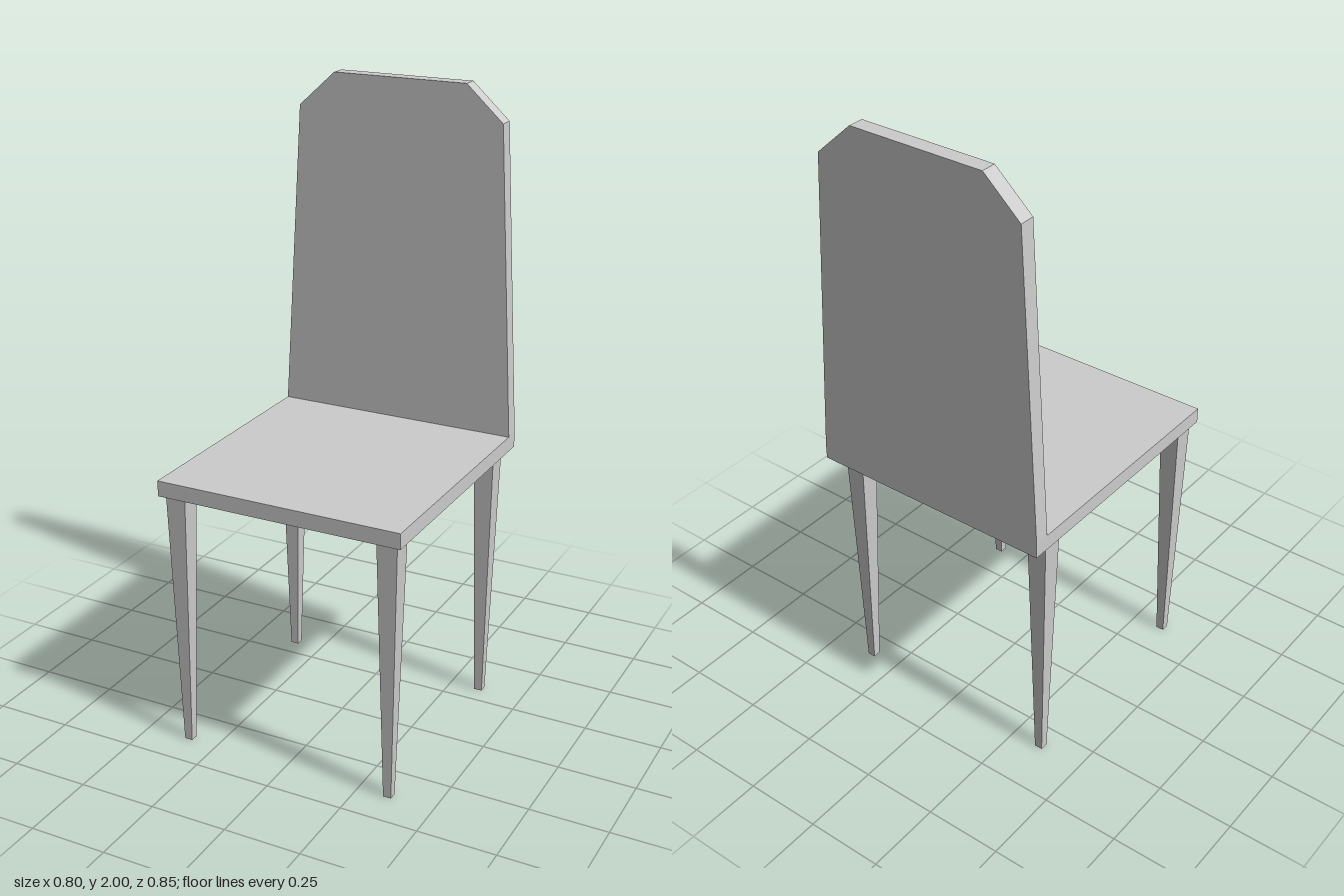
import * as THREE from 'three';

export function createModel() {
  const chair = new THREE.Group();
  chair.name = 'chair';
  const material = new THREE.MeshStandardMaterial({ color: 0xcccccc, flatShading: true });

  const add = (name, geometry, x, y, z) => {
    const mesh = new THREE.Mesh(geometry, material);
    mesh.name = name;
    mesh.position.set(x, y, z);
    chair.add(mesh);
  };

  // Seat slab
  add('seat', new THREE.BoxGeometry(0.8, 0.05, 0.85), 0, 0.875, 0);

  // Tapered backrest with clipped top corners, standing on the rear of the seat
  const outline = new THREE.Shape([
    [-0.4, 0], [0.4, 0], [0.343, 0.99], [0.222, 1.1], [-0.222, 1.1], [-0.343, 0.99],
  ].map(([x, y]) => new THREE.Vector2(x, y)));
  add('backrest', new THREE.ExtrudeGeometry(outline, { depth: 0.05, bevelEnabled: false }), 0, 0.9, -0.425);

  // Four square legs, narrowing towards the floor
  const topWidth = 0.066, footWidth = 0.026;
  const leg = new THREE.CylinderGeometry(topWidth * Math.SQRT1_2, footWidth * Math.SQRT1_2, 0.85, 4);
  leg.rotateY(Math.PI / 4);
  for (const [side, x] of [['left', 0.35], ['right', -0.35]]) {
    add(side + 'FrontLeg', leg, x, 0.425, 0.375);
    add(side + 'BackLeg', leg, x, 0.425, -0.325);
  }

  return chair;
}
